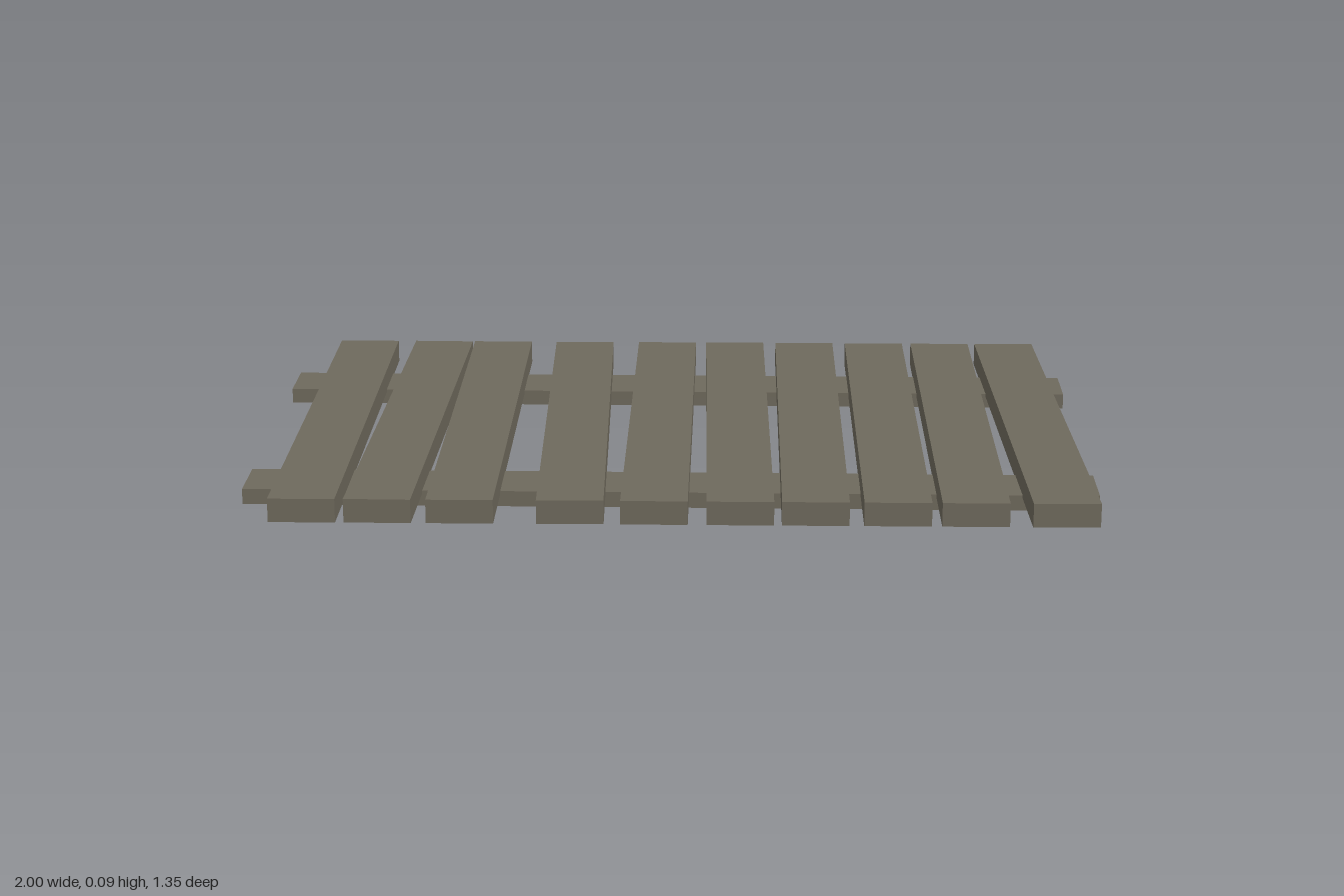
import * as THREE from 'three';

export function createModel() {
  const model = new THREE.Group();
  model.name = 'woodenDeck';
  const weatheredWood = new THREE.MeshStandardMaterial({ color: 0x6e695c });
  weatheredWood.name = 'weatheredWood';

  function board(name, size, position, turn) {
    const mesh = new THREE.Mesh(new THREE.BoxGeometry(...size), weatheredWood);
    mesh.name = name;
    mesh.position.set(...position);
    mesh.rotation.y = turn;
    model.add(mesh);
  }

  // Two slightly skewed rails underneath
  board('backRail', [2, 0.037, 0.153], [0, 0.0185, -0.445], -0.005);
  board('frontRail', [2, 0.037, 0.153], [0, 0.0185, 0.384], -0.005);

  // Cross planks: centre x and sideways drift from back to front
  const planks = [
    [-0.831, 0], [-0.645, -0.028], [-0.472, 0], [-0.237, 0.031], [-0.031, 0],
    [0.157, 0.015], [0.335, 0], [0.521, 0], [0.697, 0], [0.885, 0.034],
  ];
  planks.forEach(([x, drift], i) => {
    board(`plank${i + 1}`, [0.153, 0.056, 1.342], [x, 0.058, 0], Math.asin(drift / 1.342));
  });

  return model;
}
